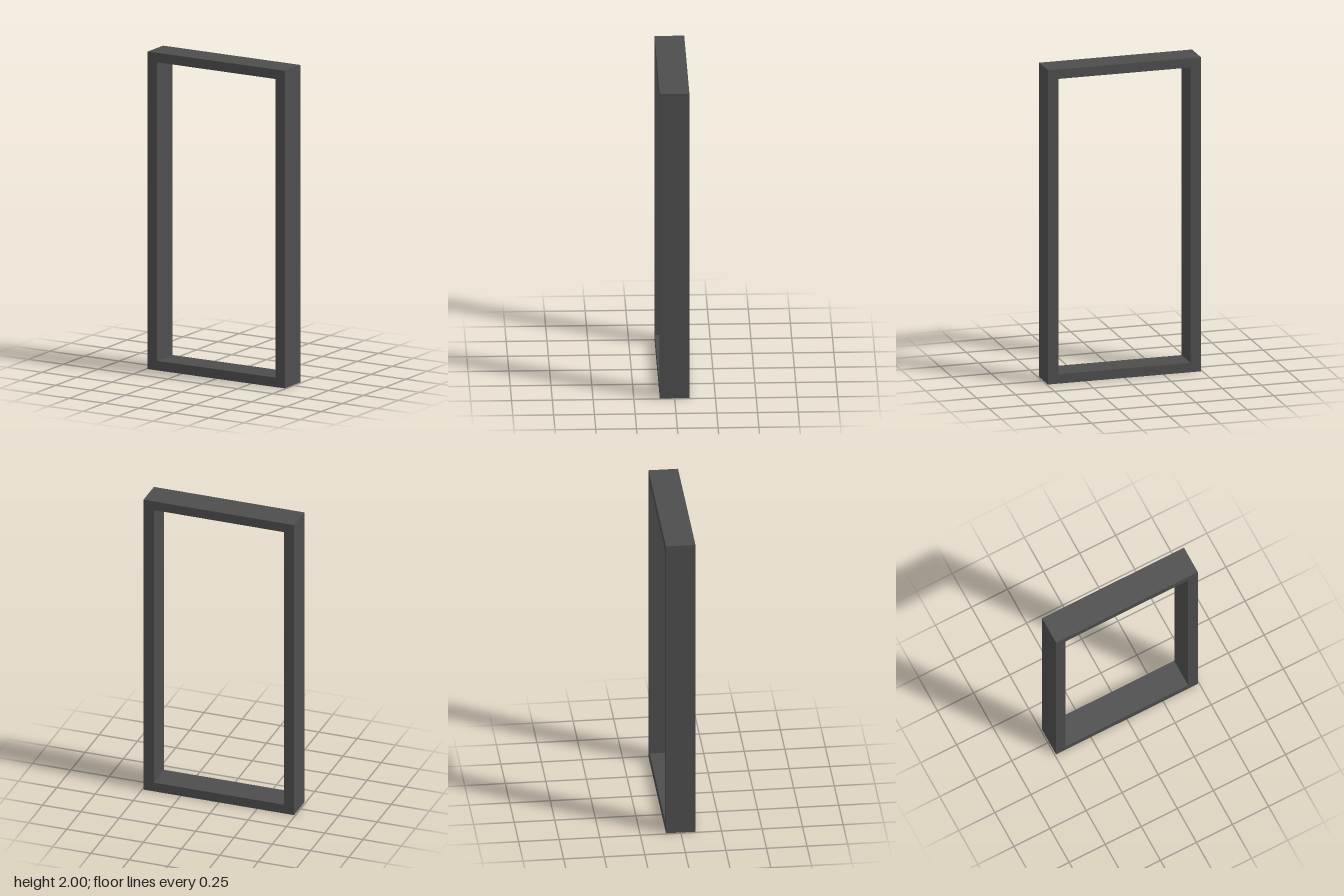
import * as THREE from 'three';

const WIDTH = 0.983, HEIGHT = 2, DEPTH = 0.182;
const SIDE = 0.067, RAIL = 0.06; // thickness of the uprights and of the top and bottom rails

// Rectangular outline standing on y = bottom, centred on x
function rectangle(target, halfWidth, bottom, top) {
  target.moveTo(-halfWidth, bottom);
  target.lineTo(halfWidth, bottom);
  target.lineTo(halfWidth, top);
  target.lineTo(-halfWidth, top);
  target.closePath();
  return target;
}

export function createModel() {
  const group = new THREE.Group();
  group.name = 'openFrame';

  // One-piece frame: outer rectangle with the opening cut through
  const outline = rectangle(new THREE.Shape(), WIDTH / 2, 0, HEIGHT);
  outline.holes.push(rectangle(new THREE.Path(), WIDTH / 2 - SIDE, RAIL, HEIGHT - RAIL));
  const geometry = new THREE.ExtrudeGeometry(outline, { depth: DEPTH, bevelEnabled: false });
  geometry.translate(0, 0, -DEPTH / 2);

  const frame = new THREE.Mesh(geometry, new THREE.MeshStandardMaterial({ color: 0x4d4d4d }));
  frame.name = 'frame';
  group.add(frame);
  return group;
}
